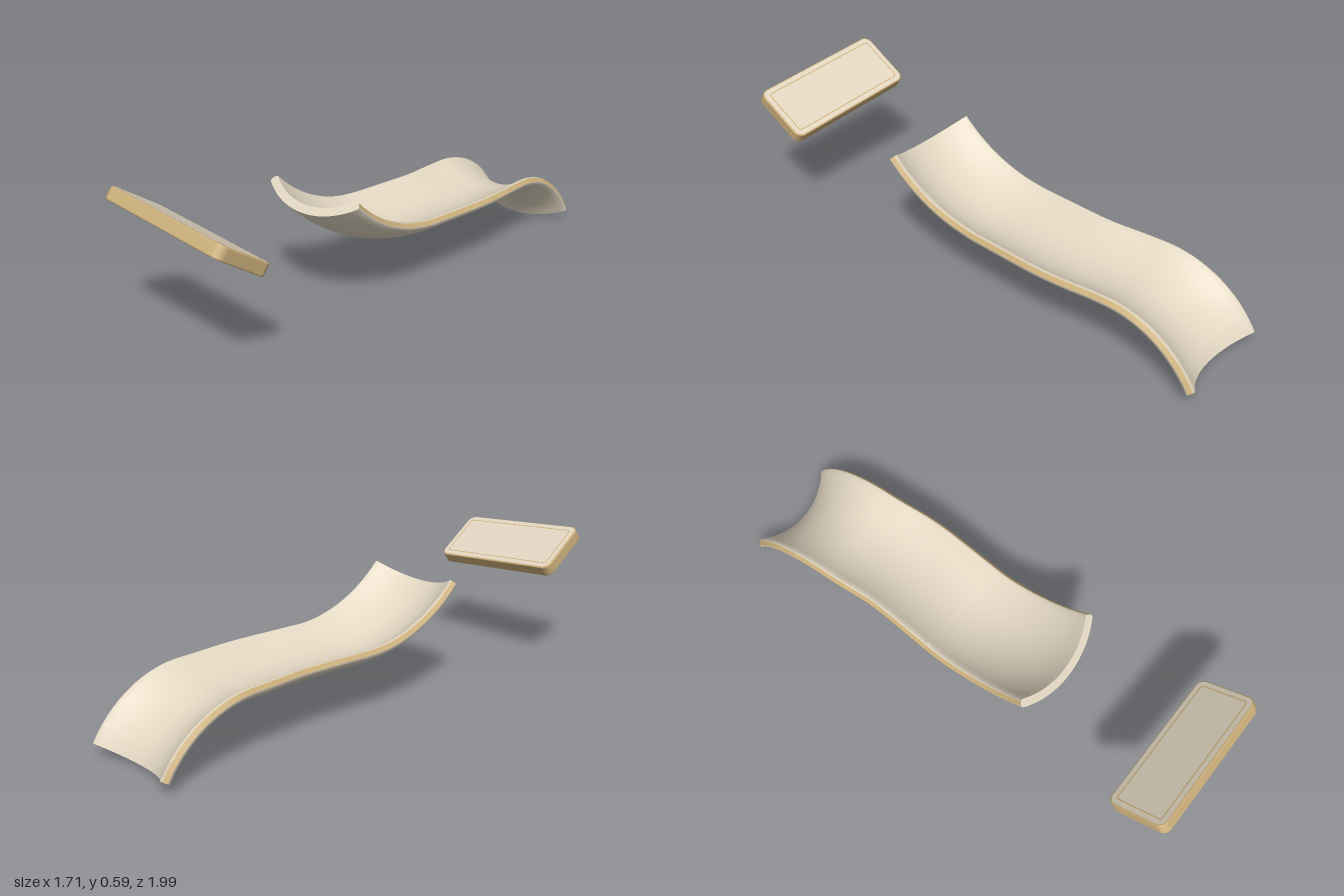
import * as THREE from 'three';

const cream = new THREE.MeshStandardMaterial({ color: 0xe2d7c2 });
cream.name = 'cream shell';
const tan = new THREE.MeshStandardMaterial({ color: 0xcdb07c });
tan.name = 'tan edge';

// Trough cross-section: concentric arcs with softened rims
const R_IN = 0.33, R_OUT = 0.365, RIM = 0.7, SOFT = 0.008;
const polar = (r, a) => [r * Math.sin(a), R_OUT - r * Math.cos(a)];
function arc(r, rimRadius) {
  const pts = [polar(rimRadius, -RIM)];
  for (let i = 0; i <= 20; i++) pts.push(polar(r, (RIM - 0.02) * (i / 10 - 1)));
  pts.push(polar(rimRadius, RIM));
  return pts;
}
const under = arc(R_OUT, R_OUT - SOFT);
const inner = arc(R_IN, R_IN + SOFT);
const last = under.length - 1;

// Path along the shell, measured by horizontal distance
const SEAM1 = 0.53, SEAM2 = 0.965, LIP = 1.361, END = 1.392;
const HEADINGS = [[0, 37], [0.4, 37.5], [0.53, 41], [0.72, 41], [0.965, 32], [1.08, 35], [END, 37]];
function heading(s) {
  let i = 0;
  while (i < HEADINGS.length - 2 && s > HEADINGS[i + 1][0]) i++;
  const [s0, h0] = HEADINGS[i], [s1, h1] = HEADINGS[i + 1];
  return THREE.MathUtils.degToRad(THREE.MathUtils.smoothstep(s, s0, s1) * (h1 - h0) + h0);
}

// Height and pitch: raised back arc, flat middle, steep falling arc
function pitch(s) {
  if (s < SEAM1) {
    const p = Math.asin((SEAM1 - s) / 0.75);
    return [0.18 + 0.75 * (1 - Math.cos(p)), -p];
  }
  const d = Math.max(0, s - SEAM2 - 0.124);
  const p = Math.asin(Math.min(1, d / 0.35));
  return [0.18 - 0.35 * (1 - Math.cos(p)), -p];
}

// Position and frame of the cross-section at distance s
function station(s) {
  let x = -0.229, z = 0.313;
  const n = 100, ds = s / n;
  for (let i = 0; i < n; i++) {
    const h = heading((i + 0.5) * ds);
    x += Math.sin(h) * ds;
    z -= Math.cos(h) * ds;
  }
  const h = heading(s), [y, p] = pitch(s);
  const side = new THREE.Vector3(Math.cos(h), 0, Math.sin(h));
  const along = new THREE.Vector3(Math.sin(h) * Math.cos(p), Math.sin(p), -Math.cos(h) * Math.cos(p));
  const up = new THREE.Vector3().crossVectors(side, along);
  const origin = new THREE.Vector3(x, y, z);
  return ([a, b]) => origin.clone().addScaledVector(side, a).addScaledVector(up, b);
}

// Smooth surface through rows of points
function grid(rows, material, name) {
  const cols = rows[0].length, index = [];
  for (let i = 0; i < rows.length - 1; i++) {
    for (let j = 0; j < cols - 1; j++) {
      const a = i * cols + j, c = a + cols;
      index.push(a, c, a + 1, a + 1, c, c + 1);
    }
  }
  const geometry = new THREE.BufferGeometry().setFromPoints(rows.flat());
  geometry.setIndex(index);
  geometry.computeVertexNormals();
  const mesh = new THREE.Mesh(geometry, material);
  mesh.name = name;
  return mesh;
}

// One length of shell with its two tan rims
function shellPiece(name, from, to, steps) {
  const piece = new THREE.Group();
  piece.name = name;
  const stations = [];
  for (let i = 0; i <= steps; i++) stations.push(station(from + (to - from) * i / steps));
  const sweep = (profile, material, part) =>
    piece.add(grid(stations.map(at => profile.map(at)), material, part));
  sweep(under, cream, 'underside');
  sweep([...inner].reverse(), cream, 'innerSurface');
  sweep([under[last], inner[last]], tan, 'leftRim');
  sweep([inner[0], under[0]], tan, 'rightRim');
  return piece;
}

function roundedRect(w, h, r) {
  const s = new THREE.Shape(), x = w / 2, y = h / 2;
  s.absarc(x - r, y - r, r, 0, Math.PI / 2);
  s.absarc(r - x, y - r, r, Math.PI / 2, Math.PI);
  s.absarc(r - x, r - y, r, Math.PI, Math.PI * 1.5);
  s.absarc(x - r, r - y, r, Math.PI * 1.5, Math.PI * 2);
  s.closePath();
  return s;
}

// Tilted floating panel with a pale top and a fine tan inlay line
function makePanel() {
  const panel = new THREE.Group();
  panel.name = 'panel';
  const L = 0.62, W = 0.26, T = 0.05, B = 0.005;
  const body = new THREE.Mesh(new THREE.ExtrudeGeometry(roundedRect(L - 2 * B, W - 2 * B, 0.03), {
    depth: T - 2 * B, bevelEnabled: true, bevelThickness: B, bevelSize: B, bevelSegments: 3, curveSegments: 8,
  }), tan);
  body.position.z = B - T / 2;
  body.name = 'panelBody';

  const top = new THREE.Mesh(new THREE.ShapeGeometry(roundedRect(L - 0.012, W - 0.012, 0.03), 8), cream);
  top.position.z = T / 2 + 0.001;
  top.name = 'panelTop';

  const ring = roundedRect(L - 0.05, W - 0.05, 0.014);
  ring.holes.push(roundedRect(L - 0.06, W - 0.06, 0.01));
  const line = new THREE.Mesh(new THREE.ShapeGeometry(ring, 6), tan);
  line.position.z = T / 2 + 0.002;
  line.name = 'panelInlayLine';
  panel.add(body, top, line);

  const long = new THREE.Vector3(0.48, -0.05, 0.38).normalize();
  const normal = long.clone().cross(new THREE.Vector3(0.13, -0.145, -0.18)).normalize();
  const short = normal.clone().cross(long);
  panel.quaternion.setFromRotationMatrix(new THREE.Matrix4().makeBasis(long, short, normal));
  panel.position.set(-0.565, 0.485, 0.72);
  return panel;
}

export function createModel() {
  const model = new THREE.Group();
  model.name = 'loungeSeatWithPanel';

  model.add(
    shellPiece('backRest', 0, SEAM1, 16),
    shellPiece('seat', SEAM1, SEAM2, 16),
    shellPiece('legRest', SEAM2, LIP, 20),
    shellPiece('footLip', LIP, END, 4),
  );

  // Closed ends of the shell
  const head = station(0), foot = station(END);
  model.add(
    grid([inner.map(head), under.map(head)], cream, 'headEnd'),
    grid([under.map(foot), inner.map(foot)], cream, 'footEnd'),
    makePanel(),
  );
  return model;
}
